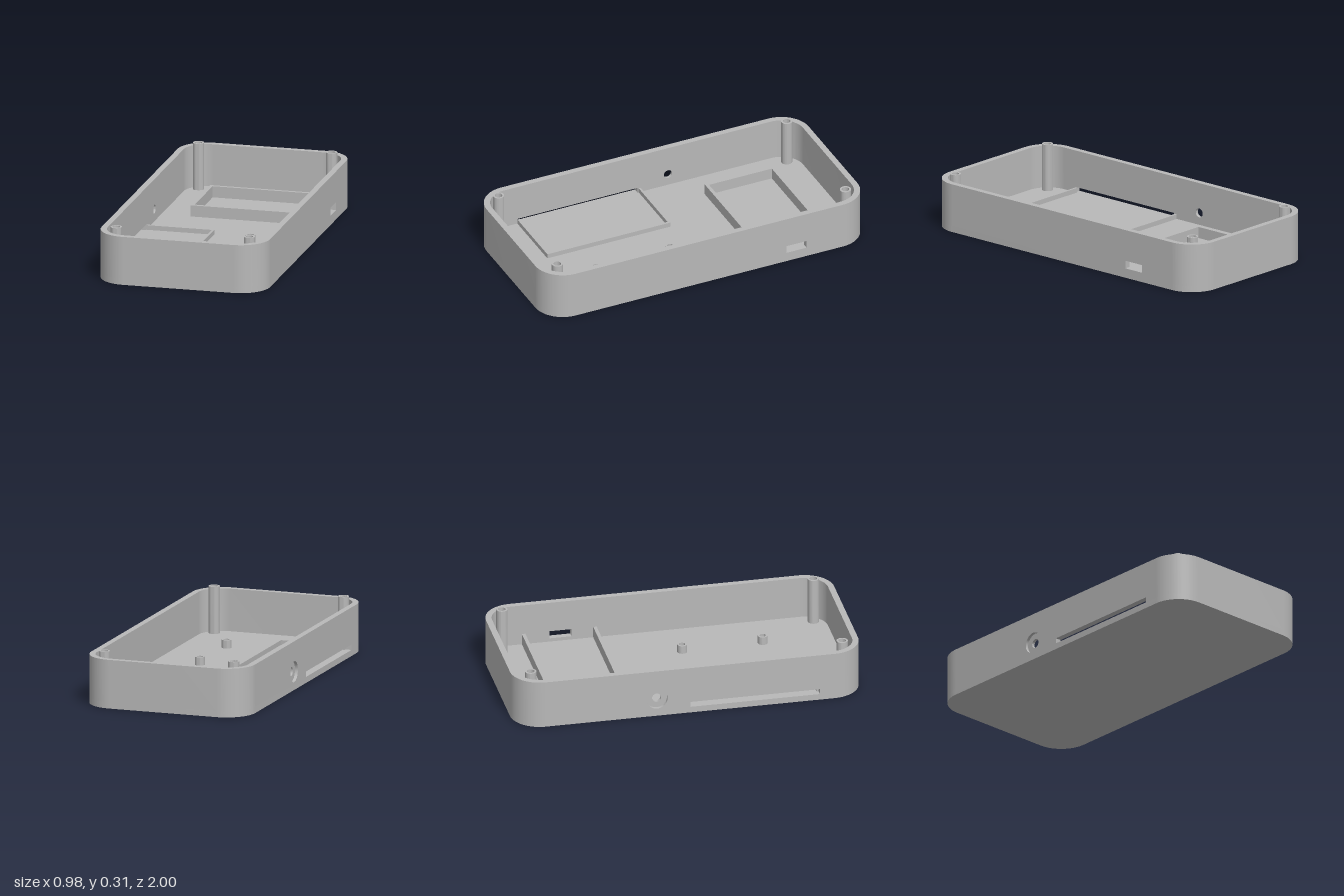
import * as THREE from 'three';
import { toCreasedNormals } from 'three/addons/utils/BufferGeometryUtils.js';

const W = 0.49, L = 1, R = 0.17;      // outer half width, half length, corner radius
const T = 0.035, TOP = 0.28;          // wall and floor thickness, rim height
const CX = W - R, CZ = L - R;         // centre of the rounded corners

const grey = new THREE.MeshStandardMaterial({ color: 0xb8b8b8 });
grey.name = 'grey plastic';

function extrude(shape, depth) {
  return new THREE.ExtrudeGeometry(shape, { depth, bevelEnabled: false, curveSegments: 20 });
}

function addMesh(group, name, geometry) {
  const mesh = new THREE.Mesh(toCreasedNormals(geometry, 0.6), grey);
  mesh.name = name;
  group.add(mesh);
  return mesh;
}

// Plan shape raised from y0 to y1
function upright(shape, y0, y1) {
  return extrude(shape, y1 - y0).rotateX(-Math.PI / 2).translate(0, y0, 0);
}

// Side shape drawn in (z, y), spanning x0 to x1
function sideways(shape, x0, x1) {
  return extrude(shape, x1 - x0).rotateY(-Math.PI / 2).translate(x1, 0, 0);
}

function rectPath(path, a0, b0, a1, b1) {
  path.moveTo(a0, b0);
  path.lineTo(a1, b0);
  path.lineTo(a1, b1);
  path.lineTo(a0, b1);
  path.closePath();
  return path;
}

function roundHole(z, y, r) {
  return new THREE.Path().absarc(z, y, r, 0, Math.PI * 2, true);
}

function floorShape() {
  const s = new THREE.Shape();
  s.absarc(CX, CZ, R, 0, Math.PI / 2);
  s.absarc(-CX, CZ, R, Math.PI / 2, Math.PI);
  s.absarc(-CX, -CZ, R, Math.PI, Math.PI * 1.5);
  s.absarc(CX, -CZ, R, Math.PI * 1.5, Math.PI * 2);
  s.closePath();
  return s;
}

// Curved end wall with both of its corners
function endShape() {
  const s = new THREE.Shape();
  s.absarc(CX, CZ, R, 0, Math.PI / 2);
  s.absarc(-CX, CZ, R, Math.PI / 2, Math.PI);
  s.absarc(-CX, CZ, R - T, Math.PI, Math.PI / 2, true);
  s.absarc(CX, CZ, R - T, Math.PI / 2, 0, true);
  s.closePath();
  return s;
}

// Side wall with a low slot and a round socket hole
function slottedSide(holeRadius) {
  const s = new THREE.Shape();
  const slot = [[0, T], [0, 0.066], [0.745, 0.066], [0.745, T]];
  s.moveTo(-CZ, T);
  slot.forEach(([z, y]) => s.lineTo(z, y));
  s.lineTo(CZ, T);
  s.lineTo(CZ, TOP);
  s.lineTo(-CZ, TOP);
  s.closePath();
  s.holes.push(roundHole(-0.19, 0.105, holeRadius));
  return s;
}

function ringShape(outer, inner) {
  const s = new THREE.Shape().absarc(0, 0, outer, 0, Math.PI * 2);
  s.holes.push(roundHole(0, 0, inner));
  return s;
}

function addPost(group, name, x, z, outer, inner, top) {
  addMesh(group, name, upright(ringShape(outer, inner), T, top)).position.set(x, 0, z);
}

function addRib(group, name, x0, x1, z0, z1, top) {
  const rib = new THREE.BoxGeometry(x1 - x0, top - T, z1 - z0);
  addMesh(group, name, rib.translate((x0 + x1) / 2, (top + T) / 2, (z0 + z1) / 2));
}

export function createModel() {
  const model = new THREE.Group();
  model.name = 'enclosureTray';

  // Floor and end walls
  addMesh(model, 'floor', upright(floorShape(), 0, T));
  addMesh(model, 'backWall', upright(endShape(), T, TOP));
  addMesh(model, 'frontWall', upright(endShape(), T, TOP).rotateY(Math.PI));

  // Left wall with a small rectangular port
  const leftSide = rectPath(new THREE.Shape(), -CZ, T, CZ, TOP);
  leftSide.holes.push(rectPath(new THREE.Path(), -0.605, 0.055, -0.48, 0.1));
  addMesh(model, 'leftWall', sideways(leftSide, W - T, W));

  // Right wall in two layers, so the socket hole is stepped
  addMesh(model, 'rightWallOuter', sideways(slottedSide(0.06), -W, -W + T / 2));
  addMesh(model, 'rightWallInner', sideways(slottedSide(0.026), -W + T / 2, -W + T));

  // Corner posts
  for (const x of [-0.387, 0.387]) {
    for (const z of [-0.895, 0.895]) addPost(model, 'cornerPost', x, z, 0.032, 0.021, 0.306);
  }

  // Short standoffs on the floor
  addPost(model, 'standoff', 0.18, 0.097, 0.028, 0.017, 0.082);
  addPost(model, 'standoff', 0.19, 0.562, 0.028, 0.017, 0.082);

  // Tall tray at the back, open towards the left wall
  const tall = new THREE.Group();
  tall.name = 'tallTray';
  addRib(tall, 'tallTrayBack', -0.285, W - T, -0.765, -0.745, 0.1);
  addRib(tall, 'tallTrayFront', -0.285, W - T, -0.355, -0.335, 0.1);
  addRib(tall, 'tallTraySide', -0.285, -0.265, -0.745, -0.355, 0.1);
  model.add(tall);

  // Low tray at the front, open towards the slot
  const low = new THREE.Group();
  low.name = 'lowTray';
  addRib(low, 'lowTrayBack', -W + T, -0.06, -0.02, -0.007, 0.062);
  addRib(low, 'lowTrayFront', -W + T, -0.06, 0.733, 0.746, 0.062);
  addRib(low, 'lowTraySide', -0.073, -0.06, -0.007, 0.733, 0.062);
  model.add(low);

  return model;
}
